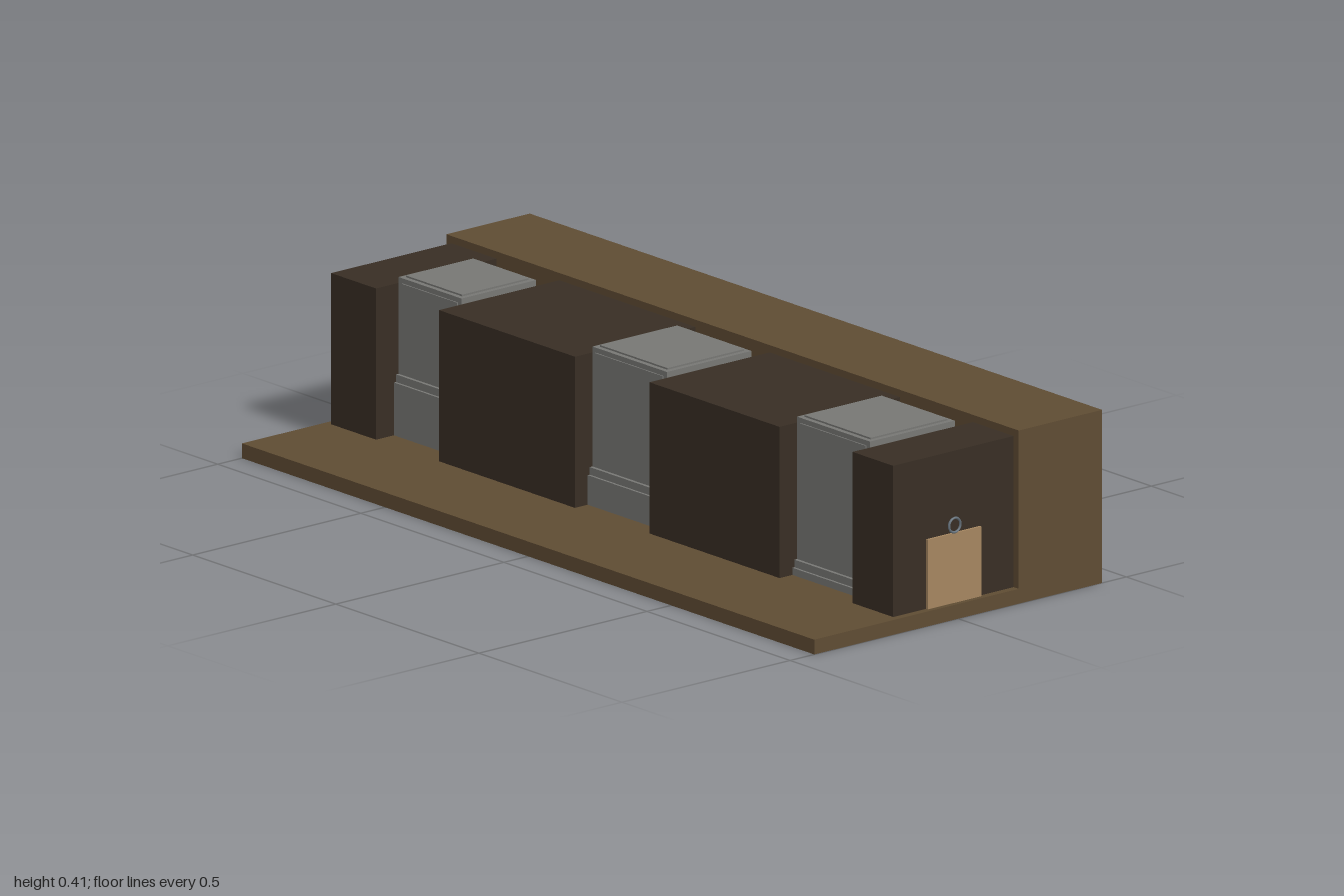
import * as THREE from 'three';

export function createModel() {
  const model = new THREE.Group();
  const material = (name, color) => {
    const m = new THREE.MeshStandardMaterial({ color });
    m.name = name;
    return m;
  };
  const brown = material('brown wood', 0x5f4c33);
  const dark = material('dark wood', 0x382e24);
  const grey = material('grey stone', 0x777774);
  const tan = material('tan wood', 0xa58660);
  const steel = material('blue grey steel', 0x66727c);

  // Box given by its lower and upper limits on each axis
  const box = (name, mat, [x0, x1], [y0, y1], [z0, z1]) => {
    const mesh = new THREE.Mesh(new THREE.BoxGeometry(x1 - x0, y1 - y0, z1 - z0), mat);
    mesh.position.set((x0 + x1) / 2, (y0 + y1) / 2, (z0 + z1) / 2);
    mesh.name = name;
    model.add(mesh);
    return mesh;
  };

  // Floor slab and tall rear block
  const floor = 0.035;
  box('base', brown, [-1, 1], [0, floor], [-0.18, 0.428]);
  box('rearBlock', brown, [-1, 1], [0, 0.41], [-0.428, -0.18]);

  // Dark blocks with gaps between them
  for (const span of [[-0.982, -0.825], [-0.605, -0.13], [0.13, 0.585], [0.84, 0.982]]) {
    box('darkBlock', dark, span, [floor, 0.393], [-0.18, 0.178]);
  }

  // Grey pillars in the gaps: wide plinth, narrow ledge, upright body and thin face panels
  const pillars = [
    { x: [-0.825, -0.605], step: 0.16, depth: 0.125 },
    { x: [-0.13, 0.13], step: 0.105, depth: 0.14 },
    { x: [0.585, 0.84], step: 0.052, depth: 0.14 },
  ];
  for (const { x, step, depth } of pillars) {
    const body = depth - 0.014;
    const inset = [x[0] + 0.012, x[1] - 0.012];
    box('plinth', grey, x, [floor, step], [-depth, depth]);
    box('ledge', grey, x, [step, step + 0.018], [-depth + 0.006, depth - 0.006]);
    box('pillar', grey, x, [step + 0.018, 0.407], [-body, body]);
    box('topPanel', grey, inset, [0.407, 0.411], [-body + 0.012, body - 0.012]);
    for (const s of [-1, 1]) {
      const z = [s * body, s * (body + 0.003)].sort((a, b) => a - b);
      box('facePanel', grey, inset, [step + 0.035, 0.395], z);
    }
  }

  // End doors, each with a small ring above
  for (const { side, top } of [{ side: 1, top: 0.2 }, { side: -1, top: 0.272 }]) {
    const x = [side * 0.982, side * 0.988].sort((a, b) => a - b);
    box('endDoor', tan, x, [floor, top], [-0.08, 0.08]);
    const ring = new THREE.Mesh(new THREE.TorusGeometry(0.017, 0.003, 6, 20), steel);
    ring.rotation.y = Math.PI / 2;
    ring.position.set(side * 0.988, top + 0.019, 0);
    ring.name = 'doorRing';
    model.add(ring);
  }

  return model;
}
